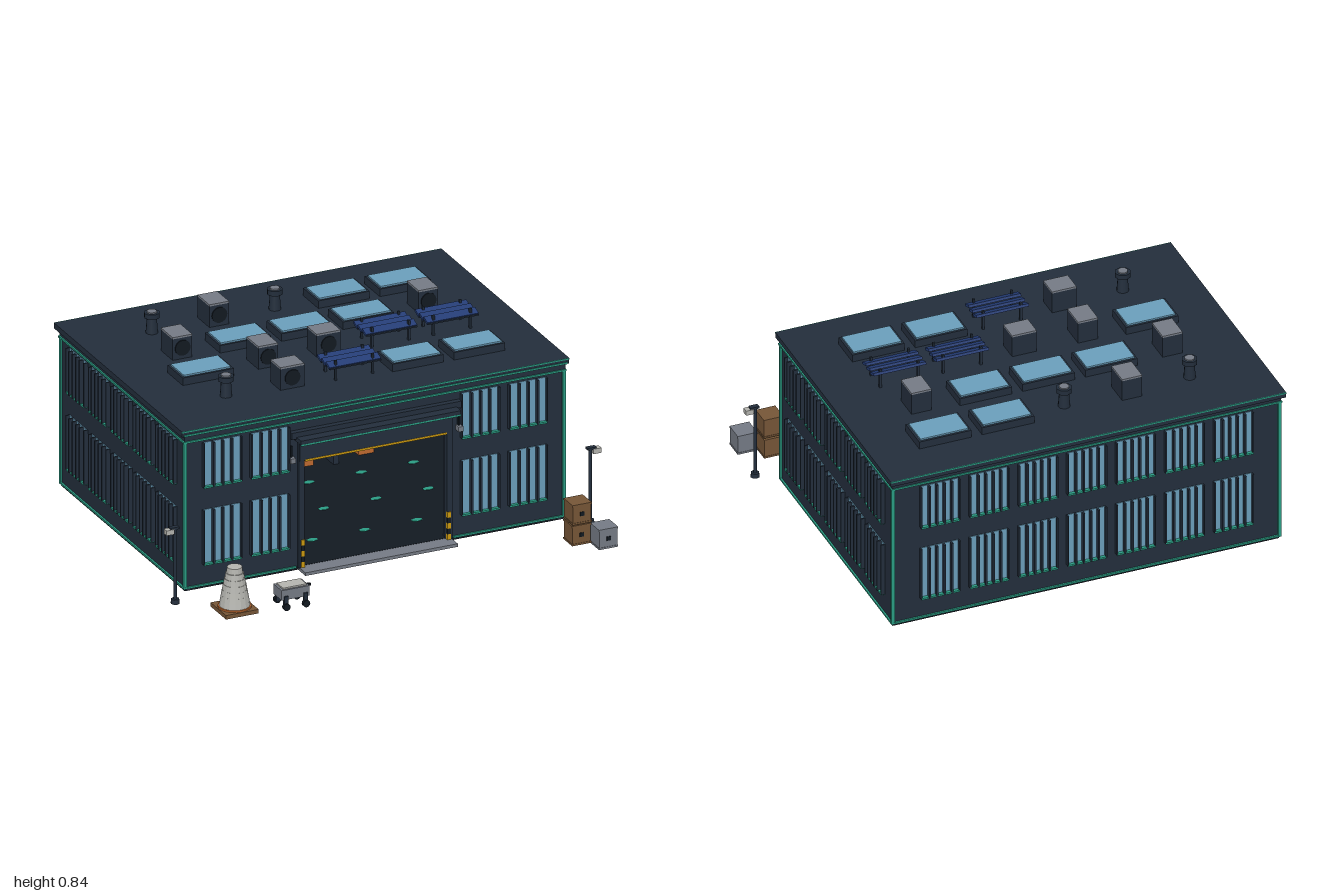
import * as THREE from 'three';

const mat = (name, color) => {
  const m = new THREE.MeshStandardMaterial({ color });
  m.name = name;
  return m;
};

export function createModel() {
  const root = new THREE.Group();
  root.name = 'warehouse';
  const wall = mat('navy wall', 0x232e3c), dark = mat('dark floor', 0x121921);
  const glass = mat('window glass', 0x6b9fbc), teal = mat('teal trim', 0x2a9d84);
  const grey = mat('grey metal', 0x757b85), pale = mat('pale metal', 0xb5b5b0);
  const blue = mat('solar blue', 0x243c75), brown = mat('crate brown', 0x765637);
  const yellow = mat('safety yellow', 0xcc9a10), orange = mat('orange', 0xc06a30);

  const add = (name, geo, m, x, y, z, parent = root) => {
    const mesh = new THREE.Mesh(geo, m);
    mesh.name = name;
    mesh.position.set(x, y, z);
    parent.add(mesh);
    return mesh;
  };
  const box = (name, m, w, h, d, x, y, z, p) => add(name, new THREE.BoxGeometry(w, h, d), m, x, y, z, p);
  const cyl = (name, m, r0, r1, h, x, y, z, p, n = 12) =>
    add(name, new THREE.CylinderGeometry(r0, r1, h, n), m, x, y, z, p);
  const group = (name, x, y, z, p = root) => {
    const g = new THREE.Group();
    g.name = name;
    g.position.set(x, y, z);
    p.add(g);
    return g;
  };

  // Hollow shell, front wall open in the middle
  const X = 0.87, F = 0.43, B = -0.77, T = 0.03, ZC = (F + B) / 2, H = 0.7;
  box('floor', dark, 2 * X, 0.015, F - B, 0, 0.0125, ZC);
  box('backWall', wall, 2 * X, H, T, 0, H / 2 + 0.005, B + T / 2);
  for (const s of [-1, 1]) {
    box('sideWall', wall, T, H, F - B, s * (X - T / 2), H / 2 + 0.005, ZC);
    box('frontWall', wall, X - 0.33, H, T, s * (X + 0.33) / 2, H / 2 + 0.005, F - T / 2);
  }
  box('lintel', wall, 0.66, H - 0.5, T, 0, (H + 0.5) / 2, F - T / 2);
  box('roof', wall, 1.78, 0.025, 1.24, 0, 0.7245, -0.177);
  box('cornice', wall, 1.75, 0.025, 1.215, 0, 0.7, ZC);

  // Teal corner strips, base line and cornice lines
  for (const s of [-1, 1]) {
    for (const z of [F, B]) box('cornerStrip', teal, 0.014, 0.67, 0.014, s * X, 0.35, z);
    for (const [y, o] of [[0.02, 0.003], [0.681, 0.004], [0.716, 0.014]])
      box('sideTrimLine', teal, 0.01, 0.008, F - B + 0.01, s * (X + o), y, ZC);
    box('frontBaseLine', teal, 0.51, 0.008, 0.01, s * 0.615, 0.02, F + 0.003);
  }
  box('backBaseLine', teal, 1.74, 0.008, 0.01, 0, 0.02, B - 0.003);
  for (const [y, o] of [[0.681, 0.004], [0.716, 0.012]])
    for (const z of [F + o, B - o]) box('corniceLine', teal, 1.76, 0.008, 0.01, 0, y, z);
  for (const z of [0.444, -0.798]) box('roofEdge', teal, 1.78, 0.006, 0.004, 0, 0.734, z);

  // Windows: glass through the wall, vertical fins and a teal sill outside
  const windowAt = (x, z, turn, fins) => {
    for (const [y0, y1] of [[0.115, 0.36], [0.465, 0.665]]) {
      const g = group('window', x, (y0 + y1) / 2, z), h = y1 - y0;
      g.rotation.y = turn;
      box('pane', glass, 0.168, h, T + 0.006, 0, 0, -T / 2, g);
      box('sill', teal, 0.172, 0.008, 0.018, 0, -h / 2, 0.009, g);
      for (let i = 1; i <= fins; i++)
        box('fin', wall, 0.008, h, 0.022, -0.084 + 0.168 * i / (fins + 1), 0, 0.011, g);
      for (const s of [-1, 1]) box('jamb', wall, 0.006, h, 0.018, s * 0.086, 0, 0.009, g);
    }
  };
  for (const x of [0.483, 0.702]) for (const s of [-1, 1]) windowAt(s * x, F, 0, 3);
  for (let i = -3; i <= 3; i++) windowAt(i * 0.22, B, Math.PI, 4);
  for (let i = 0; i < 5; i++)
    for (const s of [-1, 1]) windowAt(s * X, 0.267 - i * 0.217, s * Math.PI / 2, 4);

  // Portal, canopy, threshold and hazard posts
  box('portalHeader', wall, 0.7, 0.085, 0.02, 0, 0.545, F + 0.008);
  box('canopy', wall, 0.735, 0.02, 0.075, 0, 0.608, 0.46);
  box('canopyBack', wall, 0.78, 0.03, 0.025, 0, 0.625, 0.442);
  box('canopyTrim', teal, 0.735, 0.008, 0.004, 0, 0.597, 0.496);
  box('doorRail', yellow, 0.65, 0.009, 0.012, 0, 0.503, F + 0.014);
  box('threshold', grey, 0.7, 0.014, 0.075, 0, 0.012, 0.465);
  for (const s of [-1, 1]) {
    box('portalPost', wall, 0.025, 0.57, 0.025, s * 0.34, 0.3, F + 0.004);
    for (let i = 0; i < 5; i++)
      box('hazardBand', i % 2 ? dark : yellow, 0.016, 0.025, 0.016, s * 0.335, 0.032 + i * 0.025, F + 0.012);
    box('wallLamp', grey, 0.022, 0.022, 0.03, s * 0.385, 0.515, F + 0.015);
    box('lampBracket', dark, 0.008, 0.06, 0.012, s * 0.385, 0.545, F + 0.006);
  }

  // Floor markers showing on both faces
  for (let i = -3; i <= 3; i++) for (let j = 0; j < 4; j++) {
    const m = cyl('floorMarker', teal, 0.026, 0.026, 0.018, i * 0.24 + (j % 2) * 0.06, 0.0125, -0.6 + j * 0.27, root, 6);
    m.scale.z = 0.6;
  }

  // Interior: engine stand, workstation, table, stores
  const stand = group('engineStand', -0.59, 0.02, -0.13);
  for (const s of [-1, 1]) {
    box('standRail', yellow, 0.14, 0.04, 0.02, 0, 0.02, s * 0.06, stand);
    box('standRail', yellow, 0.02, 0.04, 0.14, s * 0.06, 0.02, 0, stand);
  }
  cyl('engineBell', wall, 0.02, 0.055, 0.1, 0, 0.08, 0, stand);
  cyl('engineTop', dark, 0.028, 0.028, 0.035, 0, 0.145, 0, stand);
  const station = group('workstation', 0.15, 0.02, -0.5);
  box('stationTop', wall, 0.21, 0.03, 0.1, 0, 0.215, 0, station);
  box('stationDesk', wall, 0.21, 0.02, 0.12, 0, 0.08, 0, station);
  box('stationBack', dark, 0.19, 0.13, 0.02, 0, 0.145, -0.03, station);
  for (const s of [-1, 1]) box('stationLeg', wall, 0.025, 0.23, 0.1, s * 0.092, 0.115, 0, station);
  for (let i = 0; i < 5; i++) box('partsBin', i % 2 ? brown : orange, 0.018, 0.04, 0.02, -0.05 + i * 0.027, 0.165, 0, station);
  box('toolBox', orange, 0.07, 0.035, 0.05, -0.055, 0.04, 0.04, station);
  const table = group('workTable', -0.235, 0.02, -0.4);
  box('tableTop', wall, 0.14, 0.012, 0.1, 0, 0.095, 0, table);
  box('tableEdge', yellow, 0.05, 0.008, 0.06, 0, 0.106, 0, table);
  for (const a of [-1, 1]) for (const b of [-1, 1]) box('tableLeg', wall, 0.012, 0.09, 0.012, a * 0.06, 0.045, b * 0.04, table);
  box('controlCabinet', dark, 0.03, 0.26, 0.06, -0.315, 0.15, -0.2);
  for (const [m, x, z, w, h] of [[orange, 0.4, -0.52, 0.07, 0.05], [brown, 0.71, 0.25, 0.1, 0.1], [brown, 0.6, 0.27, 0.08, 0.08],
    [brown, -0.6, 0.156, 0.1, 0.03], [orange, -0.66, 0.3, 0.05, 0.05], [orange, -0.75, 0.21, 0.05, 0.05],
    [yellow, -0.75, -0.455, 0.05, 0.05], [teal, 0.82, -0.24, 0.05, 0.08]])
    box('storedCrate', m, w, h, w * 0.8, x, h / 2 + 0.0035, z);
  add('wallRing', new THREE.TorusGeometry(0.082, 0.012, 8, 32), teal, 0, 0.51, -0.72);

  // Roof equipment: S skylight, P solar panel, V vent, N deep unit, W wide unit
  ['VNVSS', 'NSSSN', 'SNWPP', 'VWPSS'].forEach((row, j) => [...row].forEach((kind, i) => {
    const g = group('roofUnit', -0.565 + i * 0.2825, 0.737, [-0.535, -0.295, -0.06, 0.185][j]);
    if (kind === 'S') {
      box('skylightCurb', wall, 0.235, 0.034, 0.148, 0, 0.017, 0, g);
      box('skylightGlass', glass, 0.215, 0.008, 0.128, 0, 0.037, 0, g);
    } else if (kind === 'P') {
      for (const s of [-1, 1]) for (const z of [-0.05, 0.05]) box('panelPost', wall, 0.01, 0.09, 0.01, s * 0.085, 0.045, z, g);
      for (let k = -1; k <= 1; k++) {
        box('solarPanel', blue, 0.236, 0.012, 0.039, 0, 0.068, k * 0.042, g).rotation.x = 0.35;
        box('panelFrame', wall, 0.236, 0.006, 0.004, 0, 0.06, k * 0.042 + 0.021, g);
      }
    } else if (kind === 'V') {
      cyl('ventPipe', wall, 0.02, 0.026, 0.08, 0, 0.04, 0, g);
      cyl('ventCap', wall, 0.034, 0.034, 0.022, 0, 0.081, 0, g, 8);
      cyl('ventLid', grey, 0.022, 0.022, 0.006, 0, 0.095, 0, g, 8);
    } else {
      const [w, d] = kind === 'N' ? [0.09, 0.115] : [0.11, 0.095];
      box('unitBody', wall, w, 0.095, d, 0, 0.0475, 0, g);
      box('unitLid', grey, w, 0.008, d, 0, 0.099, 0, g);
      cyl('unitFan', dark, 0.035, 0.035, 0.01, 0, 0.05, d / 2, g, 16).rotation.x = Math.PI / 2;
    }
  }));

  // Street lamps
  for (const s of [-1, 1]) {
    const g = group('streetLamp', s * 0.953, 0, 0.512);
    cyl('lampBase', wall, 0.018, 0.02, 0.02, 0, 0.01, 0, g, 8);
    cyl('lampPole', wall, 0.008, 0.008, 0.32, 0, 0.18, 0, g, 8);
    box('lampArm', wall, 0.04, 0.01, 0.022, s * 0.005, 0.343, 0, g);
    box('lampHead', pale, 0.036, 0.022, 0.028, s * 0.028, 0.33, 0, g);
  }

  // Stepped cone tower on a square plinth
  const cone = group('coneTower', -0.762, 0, 0.685);
  box('plinth', brown, 0.15, 0.018, 0.15, 0, 0.011, 0, cone);
  cyl('plinthRing', orange, 0.071, 0.071, 0.01, 0, 0.022, 0, cone, 20);
  const profile = [];
  for (let i = 0; i < 7; i++) {
    const r = 0.066 * Math.sqrt(1 - i / 8.2);
    profile.push(new THREE.Vector2(r, 0.024 + i * 0.025), new THREE.Vector2(r * 0.93, 0.049 + i * 0.025));
  }
  profile.push(new THREE.Vector2(0, 0.2));
  const shell = pale.clone();
  shell.flatShading = true;
  add('coneShell', new THREE.LatheGeometry(profile, 16).toNonIndexed(), pale, 0, 0, 0, cone).geometry.computeVertexNormals();

  // Four-legged cart
  const cart = group('cart', -0.525, 0, 0.737);
  box('cartBody', grey, 0.128, 0.045, 0.08, 0, 0.07, 0, cart);
  box('cartTop', pale, 0.108, 0.008, 0.062, 0, 0.095, 0, cart);
  box('cartHandle', dark, 0.024, 0.01, 0.01, 0.074, 0.08, 0, cart);
  for (const a of [-1, 1]) for (const b of [-1, 1]) {
    box('cartLeg', wall, 0.018, 0.05, 0.014, a * 0.045, 0.04, b * 0.04, cart);
    cyl('cartWheel', dark, 0.016, 0.016, 0.016, a * 0.045, 0.018, b * 0.045, cart).rotation.x = Math.PI / 2;
  }

  // Stacked crates outside
  for (const [m, x, y, z] of [[brown, 0.825, 0.05, 0.658], [brown, 0.825, 0.146, 0.662], [grey, 0.913, 0.046, 0.733]]) {
    const g = group('crate', x, y, z);
    box('crateBody', m, 0.084, 0.088, 0.084, 0, 0, 0, g);
    for (const s of [-1, 1]) box('crateBand', m, 0.088, 0.008, 0.088, 0, s * 0.041, 0, g);
    box('crateLatch', dark, 0.018, 0.018, 0.005, 0, 0, 0.043, g);
  }
  return root;
}
